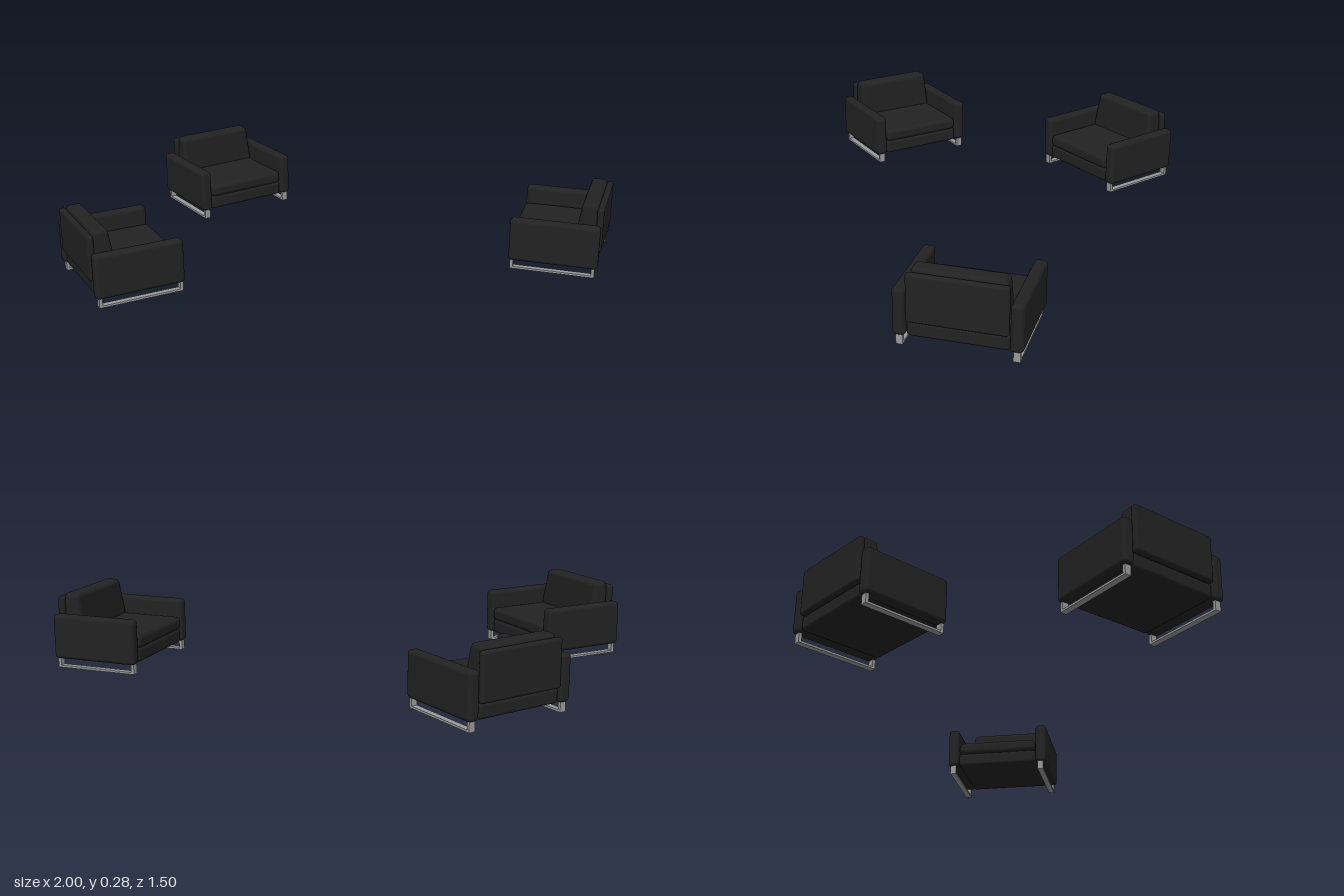
import * as THREE from 'three';
import { RoundedBoxGeometry } from 'three/addons/geometries/RoundedBoxGeometry.js';

const leather = new THREE.MeshStandardMaterial({ color: 0x222222 });
leather.name = 'black leather';
const steel = new THREE.MeshStandardMaterial({ color: 0x999999 });
steel.name = 'brushed steel';

// rounded block given by its x, y and z ranges
function block(name, [x0, x1], [y0, y1], [z0, z1], radius) {
  const geo = new RoundedBoxGeometry(x1 - x0, y1 - y0, z1 - z0, 4, radius);
  geo.translate((x0 + x1) / 2, (y0 + y1) / 2, (z0 + z1) / 2);
  const mesh = new THREE.Mesh(geo, leather);
  mesh.name = name;
  return mesh;
}

function bar(name, w, h, d, x, y, z) {
  const mesh = new THREE.Mesh(new THREE.BoxGeometry(w, h, d), steel);
  mesh.name = name;
  mesh.position.set(x, y, z);
  return mesh;
}

// armchair facing +z, centred on its own origin
function armchair(name) {
  const chair = new THREE.Group();
  chair.name = name;

  // seat base and cushion
  chair.add(block('seatBase', [-0.173, 0.173], [0.036, 0.092], [-0.165, 0.168], 0.012));
  chair.add(block('seatCushion', [-0.171, 0.171], [0.09, 0.143], [-0.15, 0.174], 0.018));

  // upright back panel
  chair.add(block('backPanel', [-0.173, 0.173], [0.092, 0.27], [-0.178, -0.152], 0.011));

  // back cushion, thicker and wider at the bottom
  const cushion = block('backCushion', [-0.17, 0.17], [0.13, 0.283], [-0.154, -0.07], 0.018);
  const p = cushion.geometry.attributes.position;
  for (let i = 0; i < p.count; i++) {
    const t = (p.getY(i) - 0.13) / 0.153;
    const front = (p.getZ(i) + 0.154) / 0.084;
    p.setZ(i, p.getZ(i) - 0.024 * t * front);
    p.setX(i, p.getX(i) * (1 - 0.05 * t));
  }
  cushion.geometry.computeBoundingSphere();
  chair.add(cushion);

  for (const side of [-1, 1]) {
    const label = side > 0 ? 'left' : 'right';
    const xs = [side * 0.198 - 0.023, side * 0.198 + 0.023];
    chair.add(block(label + 'Arm', xs, [0.036, 0.209], [-0.173, 0.173], 0.015));

    // sled base under each arm
    const sled = new THREE.Group();
    sled.name = label + 'SledBase';
    const x = side * 0.198;
    sled.add(bar('floorBar', 0.024, 0.008, 0.328, x, 0.004, 0.002));
    sled.add(bar('frontLeg', 0.024, 0.034, 0.012, x, 0.021, 0.16));
    sled.add(bar('rearLeg', 0.024, 0.034, 0.012, x, 0.021, -0.156));
    chair.add(sled);
  }
  return chair;
}

export function createModel() {
  const model = new THREE.Group();
  model.name = 'armchairs';
  // name, x, z, heading in degrees
  const places = [
    ['leftArmchair', 0.818, -0.342, -88.3],
    ['rearArmchair', -0.711, -0.481, 54.4],
    ['frontArmchair', -0.725, 0.472, 138.4],
  ];
  for (const [name, x, z, heading] of places) {
    const chair = armchair(name);
    chair.position.set(x, 0, z);
    chair.rotation.y = THREE.MathUtils.degToRad(heading);
    model.add(chair);
  }
  return model;
}
